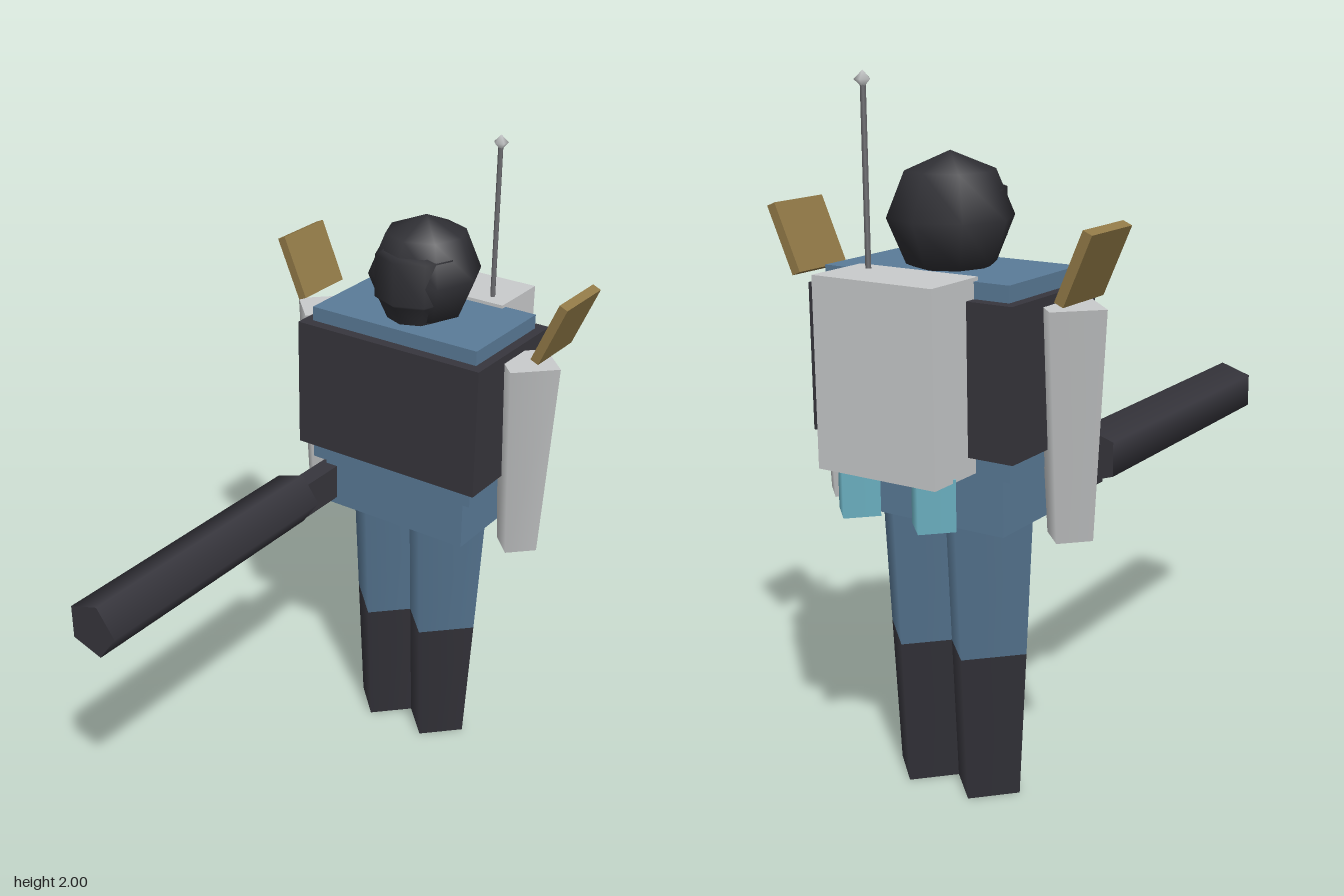
import * as THREE from 'three';

const mat = (name, color) => new THREE.MeshStandardMaterial({ name, color });

export function createModel() {
  const root = new THREE.Group();
  root.name = 'armouredTrooper';
  const blue = mat('blueSuit', 0x5b7c99);
  const dark = mat('darkArmour', 0x37363d);
  const black = mat('helmetBlack', 0x303035);
  const pale = mat('paleMetal', 0xcacccd);
  const gold = mat('goldPlate', 0x927a47);
  const cyan = mat('cyanThruster', 0x74bed0);
  const grey = mat('antennaGrey', 0x707074);
  const Z = -0.447; // depth of the body's centre line

  const add = (name, geometry, material, x, y, z) => {
    const mesh = new THREE.Mesh(geometry, material);
    mesh.name = name;
    mesh.position.set(x, y, z);
    root.add(mesh);
    return mesh;
  };
  const box = (name, material, w, h, d, x, y, z) =>
    add(name, new THREE.BoxGeometry(w, h, d), material, x, y, z);
  // Tapered limb between two heights, four sided with corners on the axes
  const limb = (name, material, rTop, rBottom, y0, y1, x, z, sides = 4) =>
    add(name, new THREE.CylinderGeometry(rTop, rBottom, y1 - y0, sides), material, x, (y0 + y1) / 2, z);

  // Body
  box('torso', blue, 0.58, 0.51, 0.34, 0, 1.235, Z);
  box('chestArmour', dark, 0.64, 0.405, 0.41, 0, 1.243, Z);
  box('pelvis', blue, 0.51, 0.16, 0.3, 0, 0.9, Z);

  // Helmet and the visor band that fills out its front
  add('helmet', new THREE.SphereGeometry(0.172, 8, 4), black, 0, 1.62, Z);
  const visorProfile = [[0.085, 1.49], [0.112, 1.55], [0.125, 1.56], [0.125, 1.69], [0.1, 1.7]]
    .map(([r, y]) => new THREE.Vector2(r, y));
  add('visor', new THREE.LatheGeometry(visorProfile, 8), black, 0, 0, -0.4);

  // Paired parts
  for (const [side, s] of [['left', 1], ['right', -1]]) {
    limb(side + 'Thigh', blue, 0.15, 0.129, 0.43, 0.82, s * 0.101, Z);
    limb(side + 'Boot', dark, 0.129, 0.105, 0, 0.43, s * 0.101, Z);
    limb(side + 'Arm', pale, 0.106, 0.07, 0.8, 1.42, s * 0.367, Z);
    const plate = box(side + 'ShoulderPlate', gold, 0.028, 0.2, 0.2, s * 0.455, 1.541, -0.49);
    plate.rotation.z = -s * 0.41;
    limb(side + 'Thruster', cyan, 0.07, 0.07, 0.86, 1.0, s * 0.12, -0.715);
  }

  // Backpack and antenna
  box('backpack', pale, 0.37, 0.51, 0.2, 0, 1.245, -0.698);
  limb('antenna', grey, 0.008, 0.008, 1.49, 1.97, 0.122, -0.647, 5);
  add('antennaTip', new THREE.SphereGeometry(0.023, 5, 2), pale, 0.122, 1.977, -0.647);

  // Five sided cannon and its mount
  const barrel = new THREE.CylinderGeometry(0.0857, 0.0857, 0.92, 5);
  barrel.rotateY(Math.PI / 2).rotateX(Math.PI / 2);
  add('cannonBarrel', barrel, dark, -0.245, 0.917, 0.338);
  box('cannonMount', dark, 0.06, 0.113, 0.24, -0.245, 0.9, -0.23);

  return root;
}
